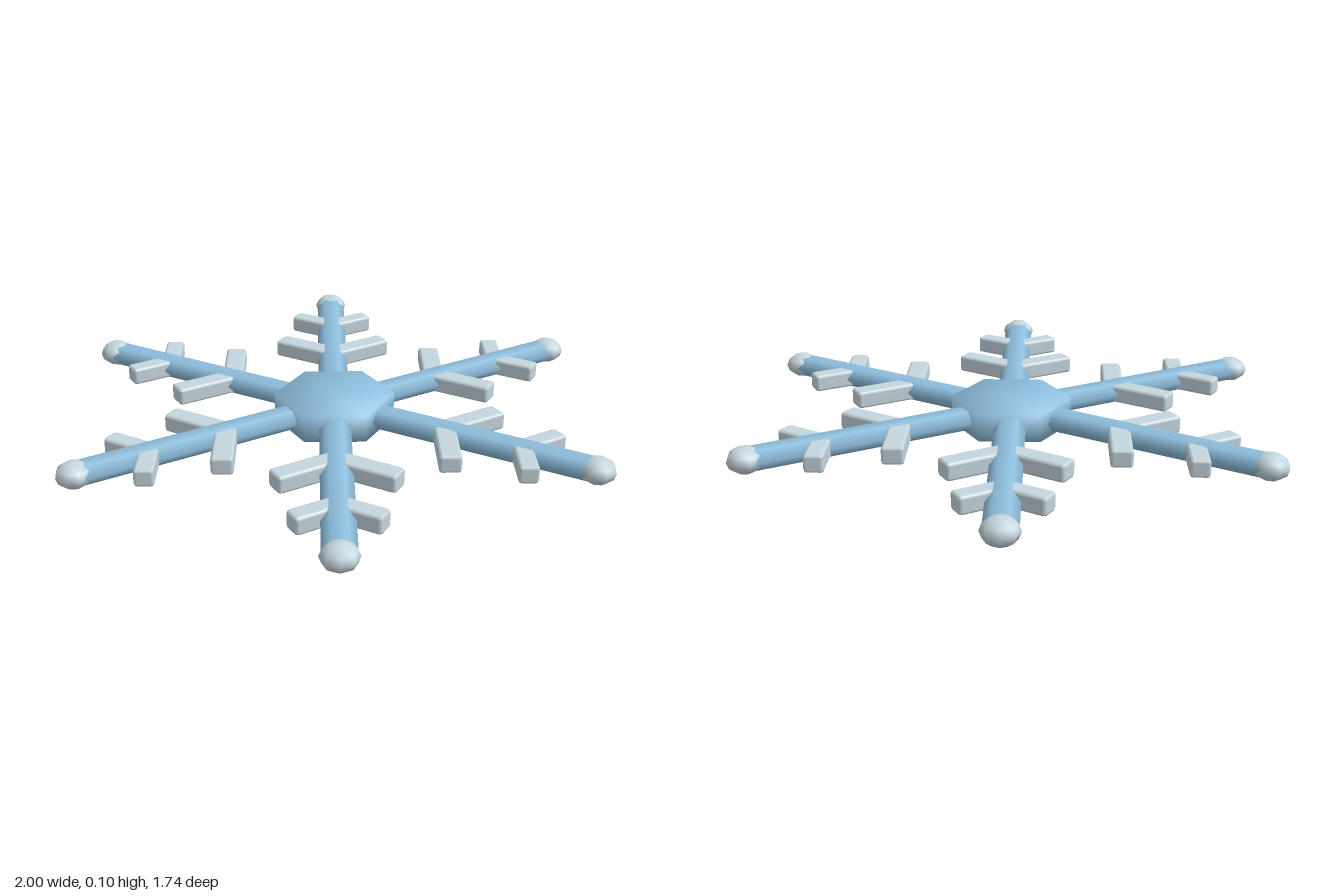
import * as THREE from 'three';
import { mergeVertices } from 'three/addons/utils/BufferGeometryUtils.js';
import { RoundedBoxGeometry } from 'three/addons/geometries/RoundedBoxGeometry.js';

const MID = 0.048; // height of the middle plane
const FLAT = 0.72; // vertical flattening of round parts

export function createModel() {
  const model = new THREE.Group();
  model.name = 'snowflake';

  const iceBlue = new THREE.MeshStandardMaterial({ color: 0x8fbfde });
  iceBlue.name = 'ice blue';
  const frost = new THREE.MeshStandardMaterial({ color: 0xc5d6de });
  frost.name = 'pale frost';

  const add = (parent, name, geometry, material) => {
    const mesh = new THREE.Mesh(geometry, material);
    mesh.name = name;
    parent.add(mesh);
    return mesh;
  };

  // Hexagonal hub with normals shared across its edges
  let hubGeo = new THREE.CylinderGeometry(0.205, 0.205, 0.096, 6);
  hubGeo.deleteAttribute('uv');
  hubGeo.deleteAttribute('normal');
  hubGeo = mergeVertices(hubGeo);
  hubGeo.computeVertexNormals();
  add(model, 'hub', hubGeo, iceBlue).position.y = MID;

  // Flattened six-sided rod along +x, with its side edges at +z and -z
  const armGeo = new THREE.CylinderGeometry(0.053, 0.053, 0.84, 6);
  armGeo.rotateZ(-Math.PI / 2).scale(1, FLAT, 1).translate(0.51, 0, 0);

  // Low-poly ball at the end of each arm
  const tipGeo = new THREE.SphereGeometry(0.06, 8, 6);
  tipGeo.scale(1, FLAT, 1).translate(0.938, 0, 0);

  // Chamfered side branches: distance along the arm, length, width
  const branches = [
    { name: 'innerBranch', at: 0.414, length: 0.225, width: 0.073 },
    { name: 'outerBranch', at: 0.686, length: 0.16, width: 0.065 },
  ];
  for (const b of branches) {
    b.geometry = new RoundedBoxGeometry(b.length, 0.061, b.width, 1, 0.011);
    b.geometry.translate(b.length / 2, 0, 0);
  }

  for (let i = 0; i < 6; i++) {
    const spoke = new THREE.Group();
    spoke.name = `spoke${i + 1}`;
    spoke.position.y = MID;
    spoke.rotation.y = (i * Math.PI) / 3;
    add(spoke, 'arm', armGeo, iceBlue);
    add(spoke, 'tip', tipGeo, frost);
    for (const b of branches) {
      for (const side of [-1, 1]) {
        const branch = add(spoke, b.name, b.geometry, frost);
        branch.position.x = b.at;
        branch.rotation.y = (side * Math.PI) / 3;
      }
    }
    model.add(spoke);
  }
  return model;
}
